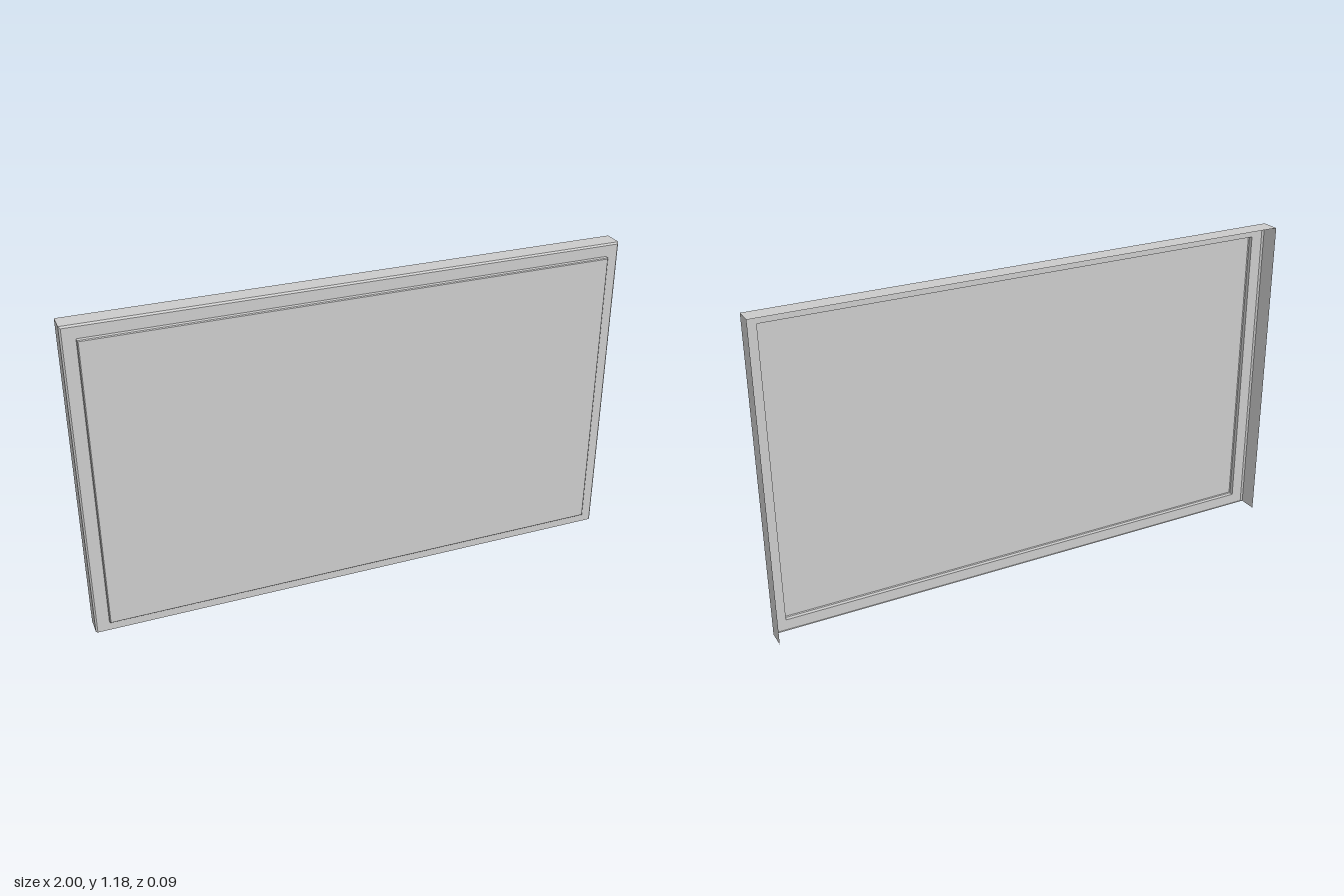
import * as THREE from 'three';

const material = new THREE.MeshStandardMaterial({
  color: 0xcccccc, flatShading: true, side: THREE.DoubleSide,
});

// Rectangular ring of corners, counter-clockwise from bottom left
const ring = (halfWidth, bottom, top, z) => [
  [-halfWidth, bottom, z], [halfWidth, bottom, z],
  [halfWidth, top, z], [-halfWidth, top, z],
];

// Thin sheet joining successive rings from back to front
function sheet(name, rings, { capped = false, openBottom = false } = {}) {
  const positions = [];
  const quad = (a, b, c, d) => positions.push(...a, ...b, ...c, ...a, ...c, ...d);
  for (let r = 0; r < rings.length - 1; r++) {
    for (let i = 0; i < 4; i++) {
      if (openBottom && r === 0 && i === 0) continue;
      const j = (i + 1) % 4;
      quad(rings[r][i], rings[r][j], rings[r + 1][j], rings[r + 1][i]);
    }
  }
  if (capped) quad(...rings[rings.length - 1]);
  const geometry = new THREE.BufferGeometry();
  geometry.setAttribute('position', new THREE.Float32BufferAttribute(positions, 3));
  geometry.computeVertexNormals();
  const mesh = new THREE.Mesh(geometry, material);
  mesh.name = name;
  return mesh;
}

export function createModel() {
  const model = new THREE.Group();
  model.name = 'wallPanel';

  // Top and side walls, open at the back and underneath, with a chamfered front edge
  model.add(sheet('sideWalls', [
    ring(1, 0, 1.178, -0.046),
    ring(1, 0, 1.178, 0.022),
    ring(0.994, 0, 1.172, 0.028),
  ], { openBottom: true }));

  // Flat border around the raised panel
  model.add(sheet('frontBorder', [
    ring(0.994, 0, 1.172, 0.028),
    ring(0.95, 0.04, 1.131, 0.028),
  ]));

  // Raised front panel, hollow from behind
  model.add(sheet('raisedPanel', [
    ring(0.95, 0.04, 1.131, 0.028),
    ring(0.95, 0.04, 1.131, 0.043),
    ring(0.947, 0.043, 1.128, 0.046),
  ], { capped: true }));

  return model;
}
